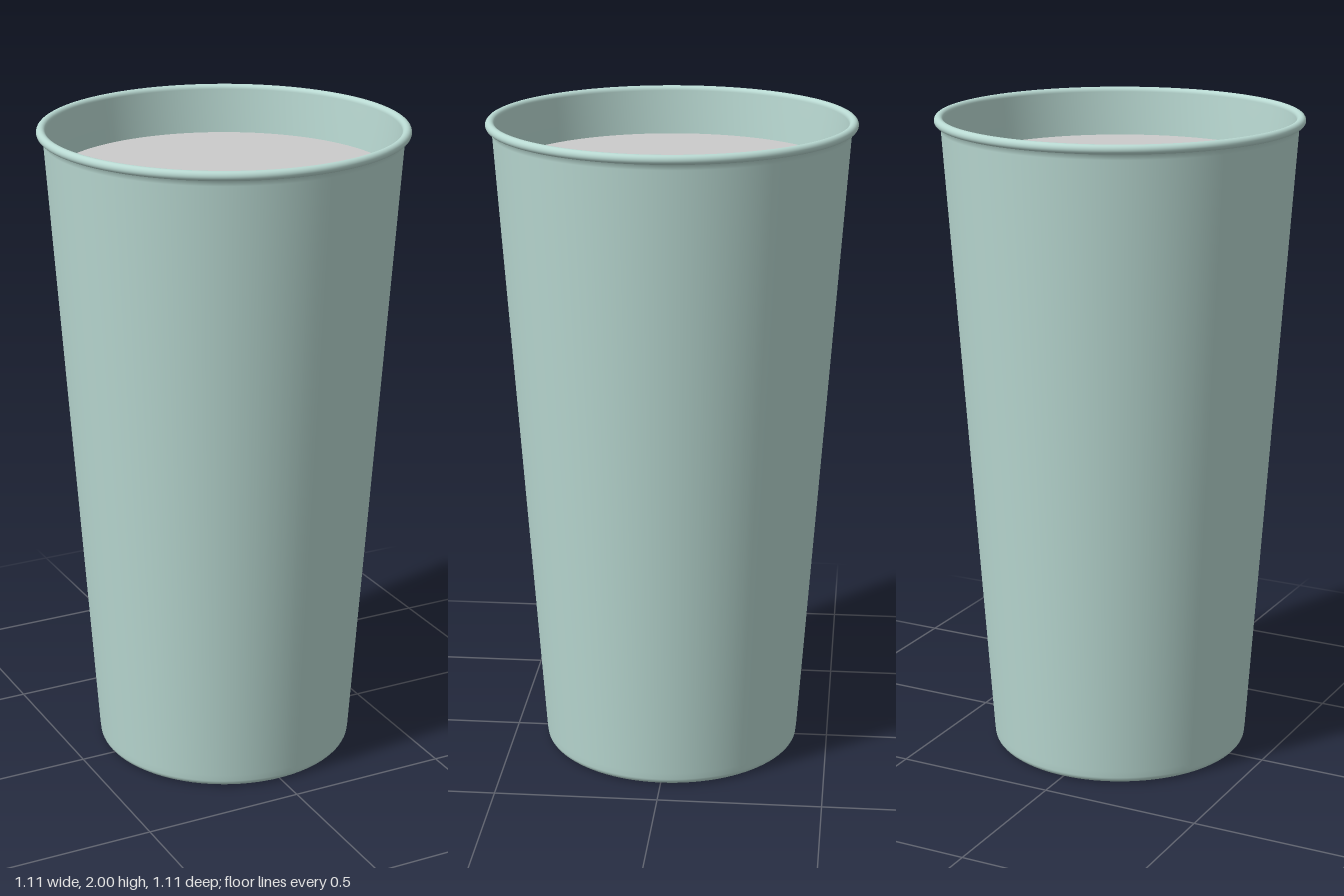
import * as THREE from 'three';

const SEGMENTS = 96;

// Points of an arc in the profile plane, angles in degrees
function arc(cx, cy, r, from, to, steps) {
  return Array.from({ length: steps + 1 }, (_, i) => {
    const a = THREE.MathUtils.degToRad(from + (to - from) * i / steps);
    return new THREE.Vector2(cx + r * Math.cos(a), cy + r * Math.sin(a));
  });
}

export function createModel() {
  const group = new THREE.Group();
  group.name = 'tumbler';
  const p = (x, y) => new THREE.Vector2(x, y);
  const cupMaterial = new THREE.MeshStandardMaterial({ color: 0xb9d9d2, side: THREE.DoubleSide });
  const liquidMaterial = new THREE.MeshStandardMaterial({ color: 0xcccccc });

  function add(name, geometry, material) {
    const mesh = new THREE.Mesh(geometry, material);
    mesh.name = name;
    group.add(mesh);
    return mesh;
  }

  // Cup wall: recessed base, rounded foot, tapered outside, rolled rim, inside wall and floor
  const profile = [
    p(0, 0.02), p(0.35, 0.02), p(0.355, 0.02),
    ...arc(0.379, 0.021, 0.021, 190, 356, 12),
    p(0.402, 0.04), p(0.535, 1.955), p(0.537, 1.972),
    ...arc(0.541, 1.986, 0.014, -75, 180, 16),
    p(0.526, 1.97), p(0.516, 1.85), p(0.388, 0.07),
    ...arc(0.368, 0.065, 0.02, 0, -90, 5),
    p(0.36, 0.045), p(0, 0.045),
  ];
  add('cup', new THREE.LatheGeometry(profile, SEGMENTS), cupMaterial);

  // Flat drink surface just below the rim
  const liquid = add('liquidSurface', new THREE.CircleGeometry(0.516, SEGMENTS), liquidMaterial);
  liquid.rotation.x = -Math.PI / 2;
  liquid.position.y = 1.85;

  return group;
}
